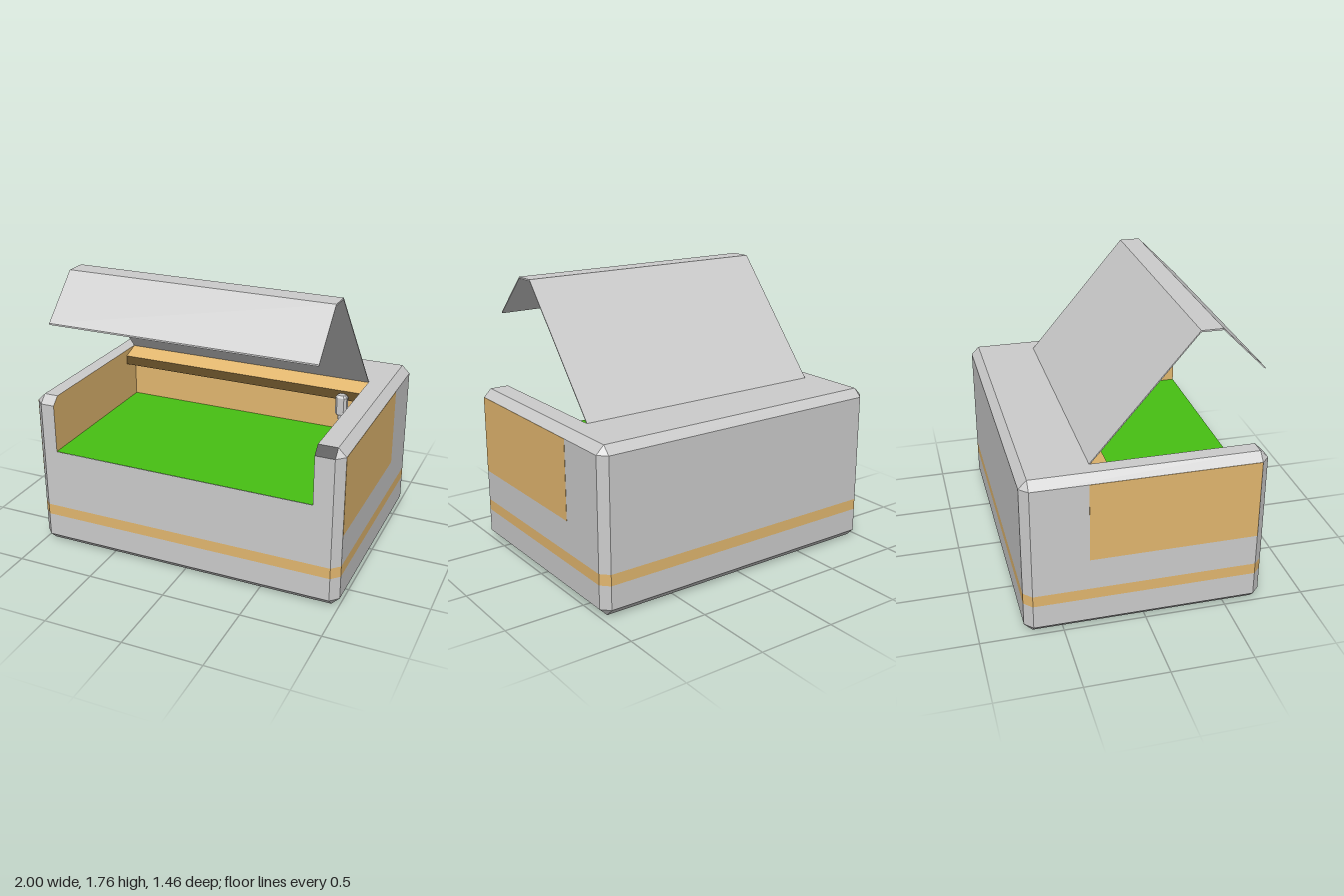
import * as THREE from 'three';

const GREY = 0xcccccc, TAN = 0xe2b76f, DARK_TAN = 0x68512a, GREEN = 0x47c013, BLACK = 0x262626;
const X0 = -0.86, X1 = 0.83, BACK = -0.31, FLOOR = 0.66, TOP = 1.02;

const octagon = (w, d, c) => [
  [w - c, d], [w, d - c], [w, c - d], [w - c, -d],
  [c - w, -d], [-w, c - d], [-w, d - c], [c - w, d]];

// Outline of the case, and the same outline with the compartment cut in from the front
const outer = octagon(1, 0.73, 0.05);
const uShape = [[X1, 0.73], ...outer, [X0, 0.73], [X0, BACK], [X1, BACK]];
const bevel = (pts) => pts.map(([x, z]) => [
  THREE.MathUtils.clamp(x, -0.95, 0.95), THREE.MathUtils.clamp(z, -0.68, 0.68)]);

function makeMesh(name, geometry, color) {
  const material = new THREE.MeshStandardMaterial({ flatShading: true });
  material.color.set(color);
  const mesh = new THREE.Mesh(geometry, material);
  mesh.name = name;
  return mesh;
}

// Walls between stacked outlines; layers are [height, outline], edges limits which sides are built
function loft(name, color, layers, { edges, top = false, bottom = false } = {}) {
  const pos = [];
  const n = layers[0][1].length;
  const sides = edges ?? [...Array(n).keys()];
  const put = (layer, i) => {
    const [y, pts] = layer;
    pos.push(pts[i % n][0], y, pts[i % n][1]);
  };
  for (let k = 0; k + 1 < layers.length; k++) {
    const lo = layers[k], hi = layers[k + 1];
    for (const i of sides) {
      put(lo, i); put(lo, i + 1); put(hi, i + 1);
      put(lo, i); put(hi, i + 1); put(hi, i);
    }
  }
  const cap = (layer, flip) => {
    const flat = layer[1].map(([x, z]) => new THREE.Vector2(x, -z));
    for (const tri of THREE.ShapeUtils.triangulateShape(flat, [])) {
      (flip ? [...tri].reverse() : tri).forEach((i) => put(layer, i));
    }
  };
  if (top) cap(layers[layers.length - 1], false);
  if (bottom) cap(layers[0], true);
  const geometry = new THREE.BufferGeometry();
  geometry.setAttribute('position', new THREE.Float32BufferAttribute(pos, 3));
  geometry.computeVertexNormals();
  return makeMesh(name, geometry, color);
}

// Side profile in (z, y) drawn across the compartment width
function acrossPrism(name, color, profile) {
  const shape = new THREE.Shape(profile.map(([z, y]) => new THREE.Vector2(z, y)));
  const geometry = new THREE.ExtrudeGeometry(shape, { depth: X1 - X0, bevelEnabled: false });
  geometry.rotateY(-Math.PI / 2).translate(X1, 0, 0);
  return makeMesh(name, geometry, color);
}

export function createModel() {
  const model = new THREE.Group();
  model.name = 'openCase';

  // Lower case with a coloured band around it
  model.add(
    loft('base', GREY, [[0, bevel(outer)], [0.05, outer], [0.2, outer]], { bottom: true }),
    loft('band', TAN, [[0.2, outer], [0.27, outer]]),
    loft('lowerWalls', GREY, [[0.27, outer], [FLOOR, outer]]));

  // Upper case around the open compartment
  const outside = [0, 1, 2, 3, 4, 5, 6, 7, 8, 9];
  const rim = [[0.97, uShape], [TOP, bevel(uShape)]];
  const outsideRim = outside.filter((i) => i !== 0);
  model.add(
    loft('upperWalls', GREY, [[FLOOR, uShape], [0.97, uShape]], { edges: outside.slice(0, 9) }),
    loft('upperFrontEdge', GREY, [[FLOOR, uShape], [0.97, uShape]], { edges: [9 - 1] }),
    loft('topRim', GREY, rim, { edges: outsideRim.slice(0, 8), top: true }),
    loft('darkFrontCorner', BLACK, rim, { edges: [0] }),
    loft('compartmentWalls', TAN, [[FLOOR, uShape], ...rim], { edges: [9, 10, 11] }));

  // Compartment floor
  const floorOutline = [[X1, 0.73], [X1, BACK], [X0, BACK], [X0, 0.73]];
  model.add(loft('compartmentFloor', GREEN, [[FLOOR + 0.001, floorOutline]], { top: true }));

  // Panels on both sides
  for (const side of [-1, 1]) {
    const panel = makeMesh(side > 0 ? 'leftPanel' : 'rightPanel',
      new THREE.BoxGeometry(0.004, 0.5, 1.02), TAN);
    panel.position.set(side * 0.9995, 0.72, 0.17);
    model.add(panel);
  }

  // Ledge under the hinge
  model.add(
    acrossPrism('ledgeTop', TAN, [[BACK, 0.98], [-0.19, 0.98], [BACK, TOP]]),
    acrossPrism('ledgeFront', DARK_TAN, [[BACK, 0.92], [-0.19, 0.92], [-0.19, 0.98], [BACK, 0.98]]));

  // Thin folded lid
  const fold = [[BACK, TOP], [0.32, 1.76], [0.45, 1.76], [0.71, 1.5]];
  const underside = fold.map(([z, y]) => [z, y - 0.01]).reverse();
  model.add(acrossPrism('lid', GREY, [...fold, ...underside].reverse()));

  // Small latch hanging on the ledge
  const latch = new THREE.Group();
  latch.name = 'latch';
  const body = octagon(0.037, 0.03, 0.015);
  const bodyEnd = octagon(0.025, 0.02, 0.01);
  const foot = octagon(0.02, 0.015, 0.005);
  latch.add(
    loft('latchBody', GREY, [[0.825, bodyEnd], [0.84, body], [0.95, body], [0.965, bodyEnd]],
      { top: true, bottom: true }),
    loft('latchFoot', GREY, [[0.8, foot], [0.83, foot]], { bottom: true }));
  latch.position.set(0.7, 0, -0.165);
  model.add(latch);

  return model;
}
